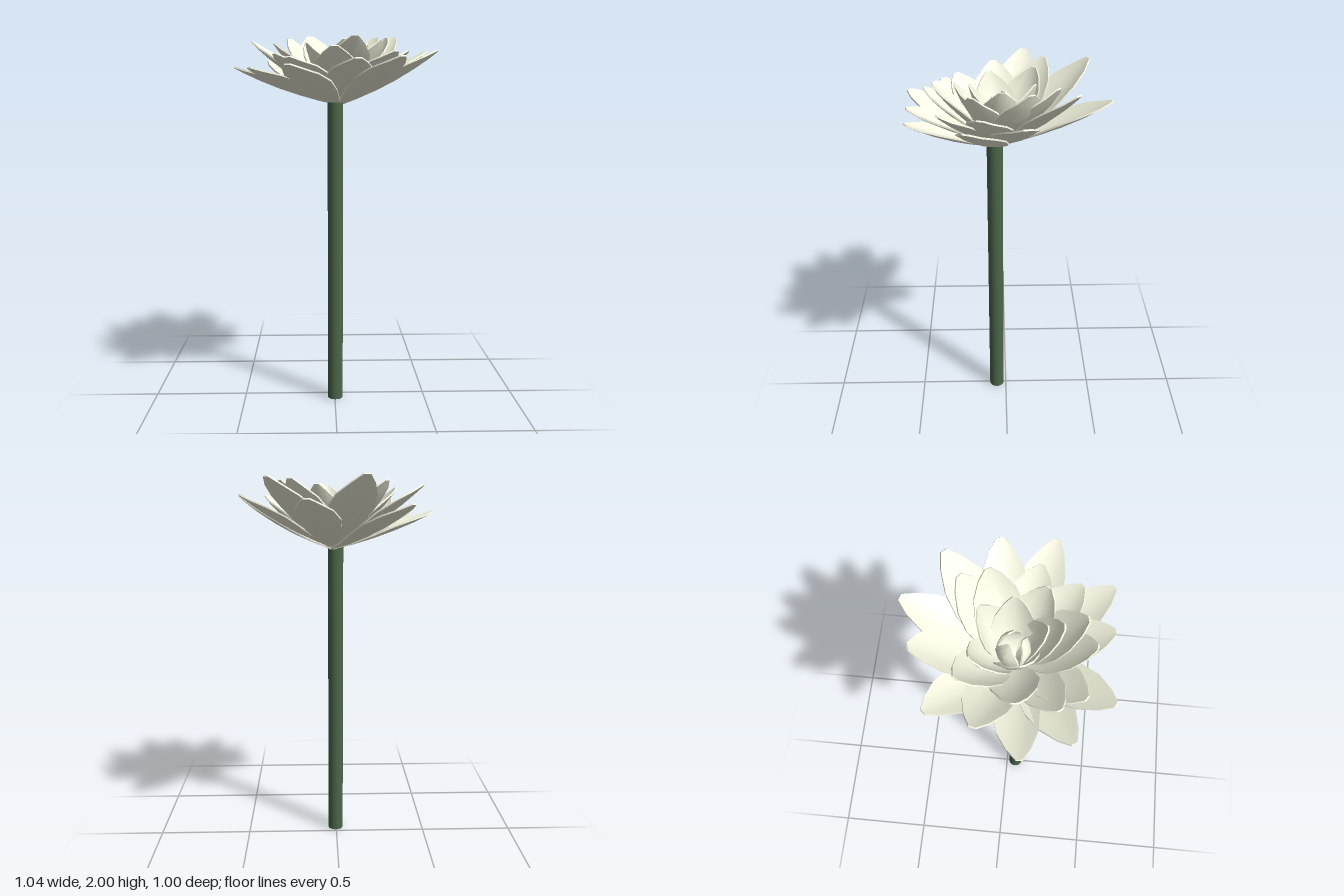
import * as THREE from 'three';
import { toCreasedNormals } from 'three/addons/utils/BufferGeometryUtils.js';

const petalMat = new THREE.MeshStandardMaterial({ color: 0xfbfbe6, side: THREE.DoubleSide });
const stemMat = new THREE.MeshStandardMaterial({ color: 0x4c664a });

const ROOT = new THREE.Vector3(0.02, 1.622, 0.02);
const STATIONS = [0, 0.17, 0.36, 0.55, 0.74, 0.9, 1];
const WIDTHS = [0.14, 0.5, 0.85, 1, 0.87, 0.5, 0.14];
const ACROSS = 4;
const THICK = 0.008;

// Cupped, closed petal shell swept along a bent spine from the root to its tip.
// bend: how far out the spine reaches before rising; lift: height of that bend; cup: rise of the side edges.
function petalGeometry(root, tip, width, { bend, lift, cup }) {
  const flat = new THREE.Vector3(tip.x - root.x, 0, tip.z - root.z);
  const out = flat.clone().normalize();
  const side = new THREE.Vector3(out.z, 0, -out.x);
  const mid = root.clone().addScaledVector(flat, bend);
  mid.y += (tip.y - root.y) * lift;
  const spine = new THREE.QuadraticBezierCurve3(root, mid, tip);
  const pos = [], idx = [];
  STATIONS.forEach((t, i) => {
    const p = spine.getPoint(t);
    const normal = new THREE.Vector3().crossVectors(spine.getTangent(t), side).normalize();
    for (const layer of [0, 1]) {
      for (let j = 0; j <= ACROSS; j++) {
        const u = (j / ACROSS) * 2 - 1;
        const w = WIDTHS[i];
        const v = p.clone().addScaledVector(side, (u * w * width) / 2)
          .addScaledVector(normal, cup * u * u * w * w - layer * THICK);
        pos.push(v.x, v.y, v.z);
      }
    }
  });
  // each ring runs over the upper face and back along the lower one
  const n = ACROSS + 1, size = 2 * n;
  const ring = [];
  for (let j = 0; j < n; j++) ring.push(j);
  for (let j = n - 1; j >= 0; j--) ring.push(n + j);
  const rows = STATIONS.length;
  for (let i = 0; i < rows - 1; i++) {
    for (let k = 0; k < size; k++) {
      const a = i * size + ring[k], b = i * size + ring[(k + 1) % size];
      idx.push(a, b, a + size, b, b + size, a + size);
    }
  }
  for (let j = 0; j < ACROSS; j++) {
    const e = (rows - 1) * size;
    idx.push(j, j + n, j + 1, j + 1, j + n, j + n + 1);
    idx.push(e + j, e + j + 1, e + j + n, e + j + 1, e + j + n + 1, e + j + n);
  }
  const geo = new THREE.BufferGeometry();
  geo.setAttribute('position', new THREE.Float32BufferAttribute(pos, 3));
  geo.setIndex(idx);
  return toCreasedNormals(geo, 0.5);
}

// Whorls: tips are [x, y, z, width]
const WHORLS = [
  { name: 'outerPetal', bend: 0.56, lift: 0.33, cup: 0.03, tips: [
    [-0.36, 1.86, -0.32, 0.22], [-0.515, 1.81, 0.1, 0.21], [-0.42, 1.8, 0.325, 0.21],
    [-0.23, 1.81, 0.49, 0.22], [0.31, 1.85, 0.455, 0.22], [0.51, 1.89, 0.18, 0.22]] },
  { name: 'upperOuterPetal', bend: 0.56, lift: 0.38, cup: 0.035, tips: [
    [0.15, 1.89, -0.49, 0.22], [0.49, 1.9, -0.08, 0.22], [0.34, 1.99, -0.31, 0.23],
    [-0.13, 2.0, -0.4, 0.25], [-0.435, 1.95, -0.1, 0.23], [0.1, 1.84, 0.47, 0.23]] },
  { name: 'middlePetal', bend: 0.62, lift: 0.36, cup: 0.04, tips: [
    [-0.23, 1.85, 0.36, 0.22], [-0.3, 1.87, 0.25, 0.21], [-0.01, 1.9, 0.39, 0.22],
    [0.29, 1.88, 0.31, 0.22], [0.37, 1.89, 0.12, 0.22], [0.23, 1.98, -0.23, 0.23],
    [-0.24, 1.97, -0.19, 0.23], [-0.31, 1.93, 0.06, 0.23], [0.09, 1.95, 0.34, 0.23]] },
  { name: 'innerPetal', bend: 0.75, lift: 0.36, cup: 0.05, tips: [
    [0.28, 1.97, -0.11, 0.23], [0.23, 1.94, 0.16, 0.21], [0.05, 1.94, 0.24, 0.21],
    [-0.14, 1.95, -0.14, 0.22], [-0.14, 1.93, 0.08, 0.21], [0.1, 1.95, -0.13, 0.2],
    [0.17, 1.94, 0.02, 0.2], [0.04, 1.93, 0.17, 0.19]] },
];

// Closed bud of three small petals leaning inwards
const BUD = { name: 'budPetal', bend: 4, lift: 0.5, cup: 0.03, tips: [
  [0, 1.85, 0.06, 0.14], [-0.025, 1.87, 0.012, 0.13], [0.028, 1.87, 0.012, 0.13]] };

export function createModel() {
  const model = new THREE.Group();
  model.name = 'flower';

  // Stem
  const stem = new THREE.Mesh(new THREE.CylinderGeometry(0.041, 0.041, 1.63, 32), stemMat);
  stem.name = 'stem';
  stem.position.set(0.003, 0.815, 0.055);
  model.add(stem);

  // Blossom: open petals fanning out in whorls, then the bud
  const blossom = new THREE.Group();
  blossom.name = 'blossom';
  model.add(blossom);
  const addWhorl = (whorl, root) => {
    for (const [x, y, z, width] of whorl.tips) {
      const petal = new THREE.Mesh(petalGeometry(root, new THREE.Vector3(x, y, z), width, whorl), petalMat);
      petal.name = whorl.name;
      blossom.add(petal);
    }
  };
  WHORLS.forEach((whorl, w) => addWhorl(whorl, new THREE.Vector3(ROOT.x, ROOT.y + w * 0.008, ROOT.z)));
  addWhorl(BUD, new THREE.Vector3(0.003, 1.65, 0.03));
  return model;
}
